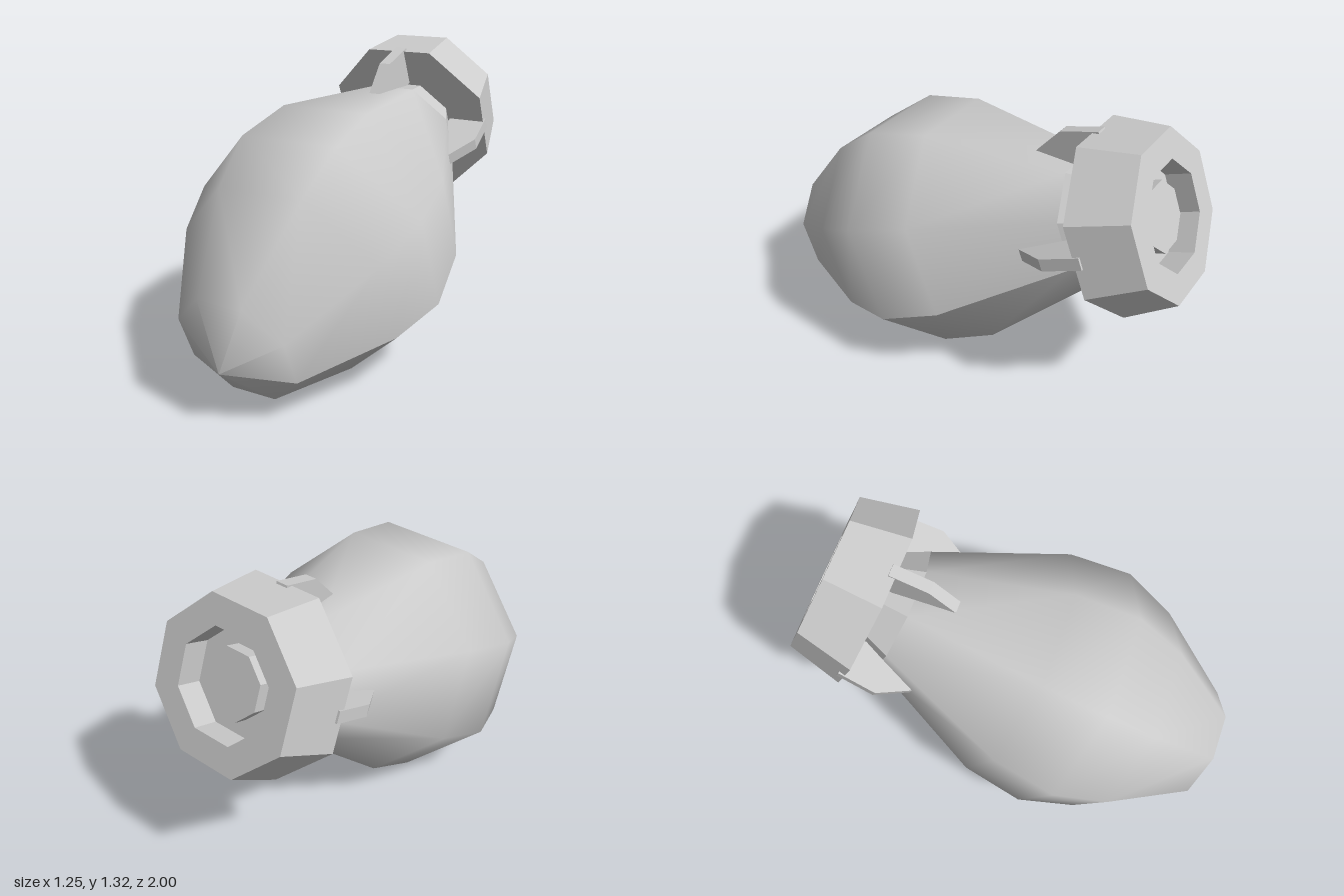
import * as THREE from 'three';

const SIDES = 8;
const deg = THREE.MathUtils.degToRad;

// Eight-sided turned part; profile is [radius, distance along the axis from the tail end]
function turned(name, profile, smooth) {
  const points = profile.map(([r, t]) => new THREE.Vector2(r, t));
  let geometry = new THREE.LatheGeometry(points, SIDES, deg(69), Math.PI * 2);
  if (!smooth) geometry = geometry.toNonIndexed();
  geometry.computeVertexNormals();
  const material = new THREE.MeshStandardMaterial({ color: 0xcccccc, flatShading: !smooth });
  const mesh = new THREE.Mesh(geometry, material);
  mesh.name = name;
  return mesh;
}

export function createModel() {
  const model = new THREE.Group();
  model.name = 'bomb';

  // Everything is built along local +Y (tail to nose), then tilted as one
  const bomb = new THREE.Group();
  bomb.name = 'tiltedBomb';
  model.add(bomb);

  // Bulging body with a blunt nose
  bomb.add(turned('body', [
    [0.285, 0.383], [0.557, 0.97], [0.6, 1.27], [0.52, 1.53], [0.278, 1.94], [0, 2.07],
  ], true));

  // Neck narrowing from the body into the tail ring
  bomb.add(turned('neck', [[0.215, 0.24], [0.285, 0.383]], false));

  // Tail ring with a recessed back and a central boss
  bomb.add(turned('tailRing', [
    [0, 0.05], [0.152, 0.05], [0.152, 0.12], [0.235, 0.12], [0.235, 0],
    [0.365, 0], [0.43, 0.26], [0, 0.26],
  ], false));

  // Four fins bridging the body and the ring
  const outline = new THREE.Shape([
    [0.22, 0.23], [0.4, 0.23], [0.415, 0.41], [0.335, 0.56], [0.22, 0.4],
  ].map(([r, t]) => new THREE.Vector2(r, t)));
  const finGeometry = new THREE.ExtrudeGeometry(outline, { depth: 0.055, bevelEnabled: false });
  finGeometry.translate(0, 0, -0.0275);
  const finMaterial = new THREE.MeshStandardMaterial({ color: 0xcccccc, flatShading: true });
  for (let i = 0; i < 4; i++) {
    const fin = new THREE.Mesh(finGeometry, finMaterial);
    fin.name = 'fin' + (i + 1);
    fin.rotation.y = deg(91.5 + i * 90);
    bomb.add(fin);
  }

  // Nose points forward, down and a little to the left
  const forward = new THREE.Vector3(0.288, -0.36, 0.887).normalize();
  const across = new THREE.Vector3(0, 1, 0).cross(forward).normalize();
  const third = across.clone().cross(forward);
  bomb.quaternion.setFromRotationMatrix(new THREE.Matrix4().makeBasis(across, forward, third));
  bomb.position.set(-0.295, 1.0, -0.84);

  return model;
}
